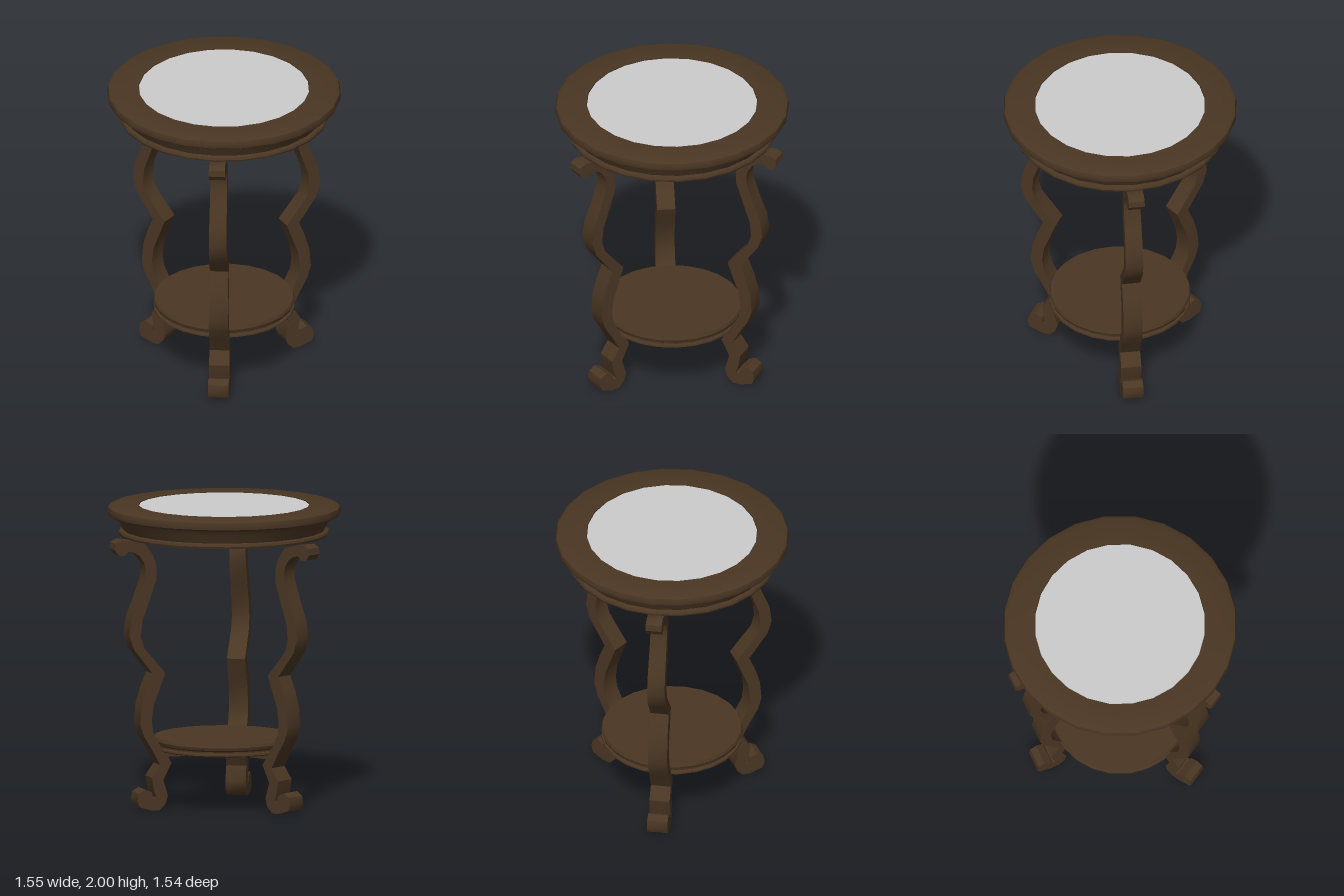
import * as THREE from 'three';
import { toCreasedNormals } from 'three/addons/utils/BufferGeometryUtils.js';

const SIDES = 24;
const CREASE = 0.65;

// Leg silhouette as [distance from axis, height], from the top scroll
// down the outer edge, around the foot scroll and up the inner edge
const LEG = [
  [0.733, 1.804], [0.775, 1.783], [0.78, 1.741], [0.754, 1.704], [0.717, 1.698], [0.685, 1.725],
  [0.648, 1.72], [0.606, 1.693], [0.574, 1.646], [0.563, 1.593], [0.569, 1.54], [0.611, 1.418],
  [0.664, 1.286], [0.68, 1.169], [0.648, 1.074], [0.59, 1.0], [0.521, 0.91], [0.563, 0.81],
  [0.595, 0.704], [0.606, 0.577], [0.579, 0.492], [0.526, 0.407], [0.468, 0.3], [0.526, 0.217],
  [0.511, 0.132], [0.495, 0.085], [0.516, 0.08], [0.526, 0.122], [0.574, 0.143], [0.616, 0.116],
  [0.627, 0.069], [0.611, 0.026], [0.526, 0], [0.474, 0], [0.431, 0.042], [0.415, 0.095],
  [0.447, 0.2], [0.389, 0.312], [0.421, 0.365], [0.474, 0.44], [0.516, 0.52], [0.526, 0.6],
  [0.511, 0.704], [0.479, 0.783], [0.431, 0.91], [0.516, 1.01], [0.579, 1.085], [0.6, 1.159],
  [0.59, 1.26], [0.532, 1.418], [0.49, 1.54], [0.49, 1.624], [0.516, 1.698], [0.569, 1.772],
  [0.632, 1.788],
];

const points = (list) => list.map(([x, y]) => new THREE.Vector2(x, y));

function turned(profile) {
  return toCreasedNormals(new THREE.LatheGeometry(points(profile), SIDES), CREASE);
}

// Extruded silhouette, slightly wider at the foot than at the top
function legGeometry() {
  const geo = new THREE.ExtrudeGeometry(new THREE.Shape(points(LEG)), { depth: 1, bevelEnabled: false });
  geo.translate(0, 0, -0.5);
  const pos = geo.attributes.position;
  for (let i = 0; i < pos.count; i++) {
    pos.setZ(i, pos.getZ(i) * (0.138 - 0.018 * pos.getY(i)));
  }
  return toCreasedNormals(geo, CREASE);
}

export function createModel() {
  const table = new THREE.Group();
  table.name = 'roundSideTable';
  table.position.x = 0.005;

  const wood = new THREE.MeshStandardMaterial({ color: 0x4a3623 });
  wood.name = 'dark wood';
  const glass = new THREE.MeshStandardMaterial({ color: 0xcccccc });
  glass.name = 'pale glass';

  const add = (parent, name, geo, mat) => {
    const mesh = new THREE.Mesh(geo, mat);
    mesh.name = name;
    parent.add(mesh);
    return mesh;
  };

  // Moulded ring with a ledge that carries the glass
  add(table, 'topFrame', turned([
    [0.535, 1.805], [0.69, 1.805], [0.695, 1.818], [0.69, 1.832], [0.665, 1.838], [0.672, 1.85],
    [0.69, 1.895], [0.71, 1.925], [0.745, 1.928], [0.765, 1.94], [0.77, 1.965], [0.763, 1.988],
    [0.738, 2], [0.563, 2], [0.563, 1.97], [0.535, 1.97], [0.535, 1.805],
  ]), wood);

  const pane = add(table, 'glassPane', new THREE.CylinderGeometry(0.56, 0.56, 0.024, SIDES), glass);
  pane.position.y = 1.984;

  // Lower shelf with a grooved edge
  add(table, 'lowerShelf', turned([
    [0, 0.385], [0.455, 0.385], [0.465, 0.392], [0.463, 0.403], [0.445, 0.408], [0.445, 0.418],
    [0.46, 0.428], [0.466, 0.447], [0.458, 0.465], [0, 0.465],
  ]), wood);

  // Three legs, each with a brace running to the centre under the shelf
  const legs = new THREE.Group();
  legs.name = 'legs';
  legs.rotation.y = 0.027;
  table.add(legs);
  const legGeo = legGeometry();
  const braceGeo = new THREE.BoxGeometry(0.44, 0.042, 0.04).translate(0.21, 0.366, 0);
  ['rightLeg', 'frontLeftLeg', 'backLeftLeg'].forEach((name, i) => {
    const unit = new THREE.Group();
    unit.name = name;
    unit.rotation.y = Math.PI + (i * Math.PI * 2) / 3;
    add(unit, 'scrolledLeg', legGeo, wood);
    add(unit, 'shelfBrace', braceGeo, wood);
    legs.add(unit);
  });

  return table;
}
